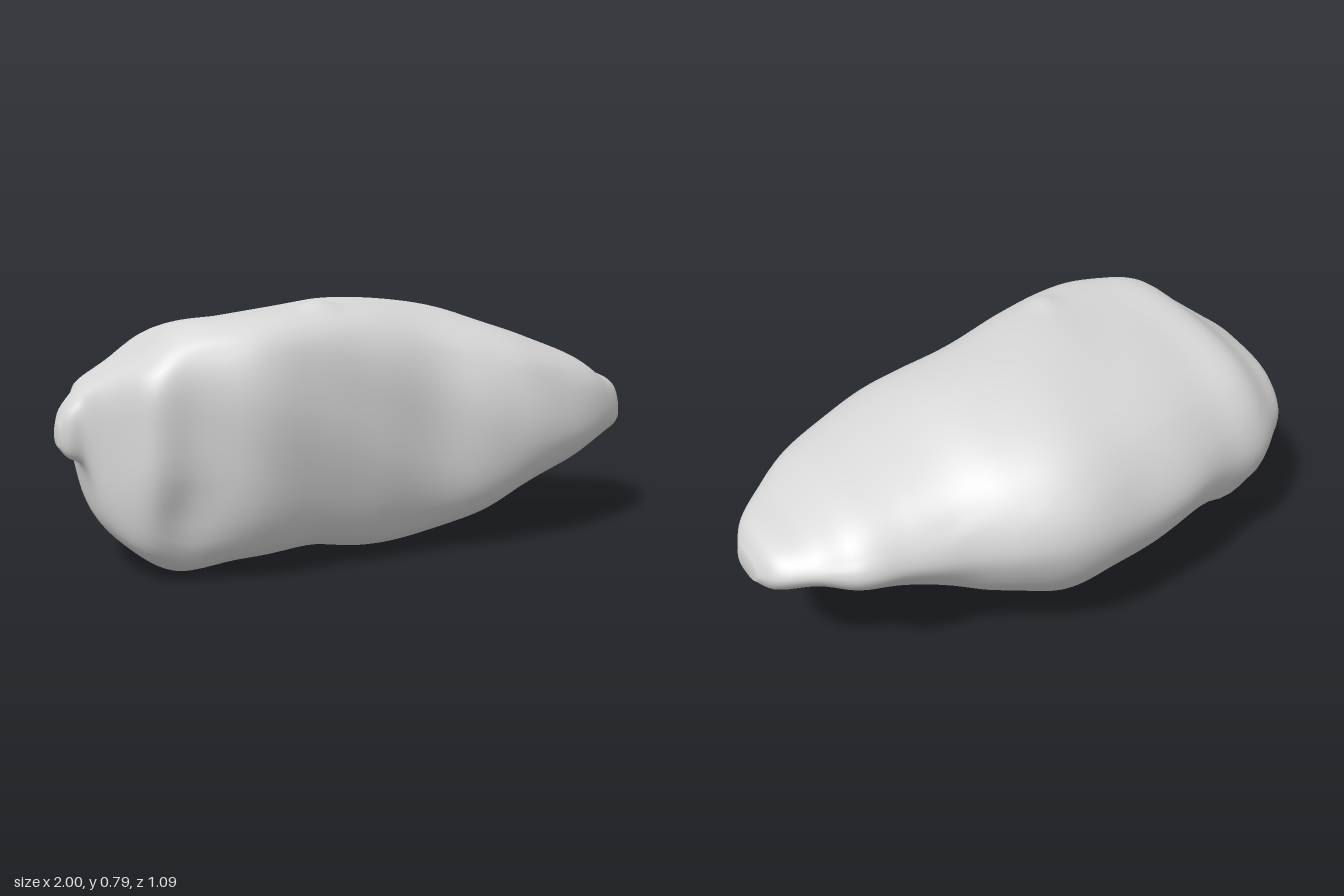
import * as THREE from 'three';

// Cross-sections along x: [x, bottom y, top y, back z, front z, back edge y, front edge y]
const SECTIONS = [
  [-1.00, 0.39, 0.45, 0.15, 0.22, 0.42, 0.42],
  [-0.975, 0.36, 0.50, 0.06, 0.25, 0.43, 0.43],
  [-0.93, 0.33, 0.55, -0.02, 0.27, 0.43, 0.44],
  [-0.885, 0.17, 0.58, -0.21, 0.35, 0.41, 0.46],
  [-0.80, 0.08, 0.64, -0.29, 0.48, 0.40, 0.47],
  [-0.68, 0.02, 0.725, -0.37, 0.50, 0.40, 0.49],
  [-0.50, 0.05, 0.75, -0.42, 0.54, 0.41, 0.50],
  [-0.30, 0.06, 0.77, -0.49, 0.52, 0.42, 0.46],
  [-0.12, 0.025, 0.785, -0.52, 0.48, 0.42, 0.40],
  [0.10, 0.03, 0.775, -0.55, 0.44, 0.42, 0.34],
  [0.30, 0.09, 0.74, -0.49, 0.44, 0.41, 0.33],
  [0.45, 0.16, 0.69, -0.41, 0.43, 0.40, 0.34],
  [0.60, 0.22, 0.64, -0.37, 0.38, 0.41, 0.35],
  [0.75, 0.27, 0.585, -0.34, 0.31, 0.42, 0.36],
  [0.85, 0.30, 0.52, -0.27, 0.24, 0.42, 0.37],
  [0.96, 0.32, 0.48, -0.20, 0.12, 0.41, 0.36],
  [1.00, 0.35, 0.42, -0.12, 0.03, 0.39, 0.37],
];

// Dents (positive) and bumps (negative): [x, y, z, radius, depth]
const DENTS = [
  [-0.70, 0.22, 0.46, 0.13, 0.02],
  [-0.60, 0.20, -0.29, 0.10, 0.04],
  [-0.84, 0.24, -0.12, 0.10, 0.03],
  [-0.38, 0.20, -0.36, 0.09, 0.02],
  [-0.24, 0.78, 0.30, 0.07, -0.02],
  [-0.13, 0.02, 0.00, 0.07, -0.02],
];

const mix = THREE.MathUtils.lerp;

// Eight points around a section, running front, top, back, bottom;
// the front is boxy at the left end and slopes more toward the right
function sectionPoints([x, yb, yt, zb, zf, yk, yf]) {
  const half = (zf - zb) / 2, mid = (zf + zb) / 2;
  const s = THREE.MathUtils.smoothstep(x, -0.5, 0.4);
  const zt = mid + half * mix(0.3, 0.05, s);
  const zm = mid + half * 0.1;
  const corner = (zc, ze, ye, y, fz, fy) => [mix(zc, ze, fz), mix(ye, y, fy)];
  return [
    [zf, yf], corner(zt, zf, yf, yt, 0.83, mix(0.87, 0.73, s)),
    [zt, yt], corner(zt, zb, yk, yt, 0.77, 0.65),
    [zb, yk], corner(zm, zb, yk, yb, 0.66, 0.72),
    [zm, yb], corner(zm, zf, yf, yb, mix(0.75, 0.82, s), mix(0.92, 0.80, s)),
  ].map(([z, y]) => new THREE.Vector3(x, y, z));
}

// Smooth skin through the sections, closed at both ends
function loft(rows, along, around) {
  const rings = rows.map(sectionPoints);
  const tracks = rings[0].map((_, k) =>
    new THREE.CatmullRomCurve3(rings.map((r) => r[k]), false, 'centripetal'));
  const pos = [], index = [];
  for (let i = 0; i <= along; i++) {
    const ring = new THREE.CatmullRomCurve3(
      tracks.map((t) => t.getPoint(i / along)), true, 'centripetal');
    for (let j = 0; j < around; j++) {
      const p = ring.getPoint(j / around);
      pos.push(p.x, p.y, p.z);
      if (i === along) continue;
      const a = i * around + j, d = i * around + (j + 1) % around;
      index.push(a, a + around, d + around, a, d + around, d);
    }
  }
  for (const row of [0, along]) {
    const c = new THREE.Vector3(), tip = pos.length / 3;
    for (let j = 0; j < around; j++) {
      c.add(new THREE.Vector3().fromArray(pos, (row * around + j) * 3));
    }
    c.divideScalar(around);
    pos.push(c.x, c.y, c.z);
    for (let j = 0; j < around; j++) {
      const a = row * around + j, b = row * around + (j + 1) % around;
      if (row === 0) index.push(tip, a, b);
      else index.push(tip, b, a);
    }
  }
  const geo = new THREE.BufferGeometry();
  geo.setAttribute('position', new THREE.Float32BufferAttribute(pos, 3));
  geo.setIndex(index);
  geo.computeVertexNormals();
  return geo;
}

// Push the skin along its normals: local dents plus a gentle uneven surface
function weather(geo) {
  const pos = geo.attributes.position, nor = geo.attributes.normal;
  const p = new THREE.Vector3(), n = new THREE.Vector3();
  for (let i = 0; i < pos.count; i++) {
    p.fromBufferAttribute(pos, i);
    n.fromBufferAttribute(nor, i);
    const fade = Math.min(1, (1 - Math.abs(p.x)) * 5);
    const rough = n.y > 0.5 ? 0.002 : 0.005;
    let push = rough * fade * Math.sin(p.x * 13 + p.y * 9) * Math.sin(p.z * 12 - p.y * 11 + p.x * 5);
    for (const [x, y, z, r, depth] of DENTS) {
      const d2 = (p.x - x) ** 2 + (p.y - y) ** 2 + (p.z - z) ** 2;
      push -= depth * Math.exp(-d2 / (r * r) * 2);
    }
    p.addScaledVector(n, push);
    pos.setXYZ(i, p.x, p.y, p.z);
  }
  geo.computeBoundingBox();
  geo.translate(0, -geo.boundingBox.min.y, 0);
  geo.computeVertexNormals();
  return geo;
}

export function createModel() {
  const group = new THREE.Group();
  group.name = 'rock';
  const stone = new THREE.MeshStandardMaterial({ color: 0xd8d8d8 });
  stone.name = 'grey stone';
  const boulder = new THREE.Mesh(weather(loft(SECTIONS, 96, 72)), stone);
  boulder.name = 'boulder';
  group.add(boulder);
  return group;
}
